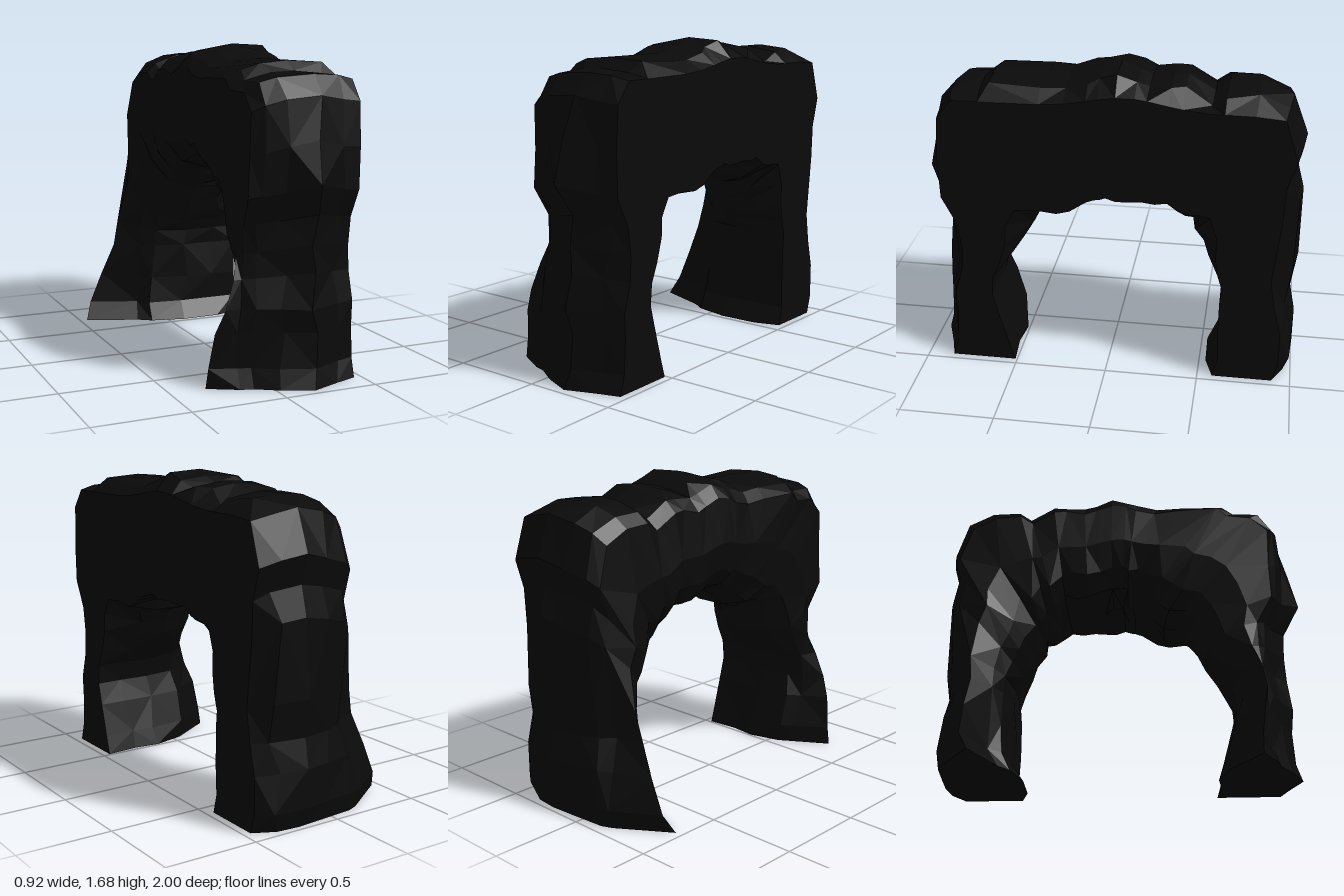
import * as THREE from 'three';

// Arch profile as [z, y] pairs, from the front foot over the top to the back foot
const OUTER = [
  [.96, 0], [.93, .1], [.92, .28], [.93, .4], [.91, .58], [.9, .72], [.91, .87], [1, 1.03], [.95, 1.24],
  [.9, 1.45], [.81, 1.55], [.67, 1.56], [.61, 1.61], [.35, 1.61], [.22, 1.61], [.1, 1.64], [.04, 1.66],
  [-.05, 1.68], [-.15, 1.65], [-.21, 1.62], [-.32, 1.64], [-.39, 1.63], [-.53, 1.56], [-.6, 1.61],
  [-.76, 1.61], [-.92, 1.56], [-1, 1.35], [-.96, 1.2], [-1, 1.05], [-1, .65], [-.97, .45], [-1, .3],
  [-1, .1], [-.97, 0],
];
const INNER = [
  [.51, 0], [.54, .1], [.59, .28], [.62, .4], [.6, .51], [.53, .6], [.45, .7], [.41, .78], [.37, .85],
  [.3, .87], [.23, .89], [.18, .93], [.14, .97], [.1, 1], [.06, 1.015], [.03, 1.02], [0, 1.03],
  [-.05, 1.01], [-.1, 1], [-.18, .99], [-.25, .97], [-.31, .98], [-.36, .93], [-.4, .88],
  [-.43, .84], [-.45, .82], [-.49, .73], [-.52, .66], [-.56, .6], [-.6, .54], [-.6, .45], [-.6, .25],
  [-.6, .1], [-.53, 0],
];

// How far each leg spreads toward -x, as [height, x]
const FRONT_SPREAD = [[0, -.31], [.28, -.27], [.45, -.2], [.65, -.14]];
const BACK_SPREAD = [[0, -.46], [.25, -.36], [.4, -.28], [.78, -.2], [.88, -.16], [.96, -.2], [1.1, -.14]];

// Rough rim: x, then how far it lies below the outer profile on the front leg, top and back leg
const OUTER_RIM = [
  [.36, .06, .01, .02], [.2, 0, 0, 0], [.05, .06, .005, .03], [-.06, .12, .04, .08], [-.12, .15, .1, .15],
];
// Rough inner side: x and the share of the way from the inner to the outer profile
const INNER_RIM = [[-.11, .22], [-.03, .08], [.12, 0], [.3, .02]];

function sample(table, y) {
  for (let i = 1; i < table.length; i++) {
    if (y <= table[i][0]) {
      const [y0, x0] = table[i - 1], [y1, x1] = table[i];
      return x0 + (x1 - x0) * (y - y0) / (y1 - y0);
    }
  }
  return table[table.length - 1][1];
}

function makeRandom(seed) {
  return () => (seed = (seed * 16807) % 2147483647) / 2147483647;
}

const bump = (i, centre, width) => Math.exp(-(((i - centre) / width) ** 2));

function buildRings() {
  const random = makeRandom(77);
  const jitter = (size) => (random() - .5) * size;
  return OUTER.map((o, i) => {
    const n = INNER[i];
    const length = Math.hypot(o[0] - n[0], o[1] - n[1]);
    const at = (x, s) => new THREE.Vector3(x, n[1] + (o[1] - n[1]) * s, n[0] + (o[0] - n[0]) * s);
    const back = sample(o[0] > 0 ? FRONT_SPREAD : BACK_SPREAD, (o[1] + n[1]) / 2);
    const spread = (back + .14) * .2;
    const frontLeg = 1 - THREE.MathUtils.smoothstep(i, 6, 10);
    const backLeg = THREE.MathUtils.smoothstep(i, 23, 26);
    const backFoot = THREE.MathUtils.smoothstep(i, 29, 33);
    const knob = .05 * bump(i, 7, 1);

    // The flat face is set back from the rough rim, most of all at the arch corners
    const innerInset = .14 * bump(i, 7.5, 2.3) + .16 * bump(i, 25, 2.5) + .04 * bump(i, 20, 2) + .05 * bump(i, 33, .7);
    const outerInset = .04 + .06 * frontLeg + .03 * backLeg + knob + .04 * bump(i, 4.5, 1) + .09 * bump(i, 28.5, 1);
    const faceTop = at(.46, 1 - outerInset / length);
    faceTop.y = Math.min(faceTop.y, 1.52 + .06 * bump(faceTop.z, -.1, .25));
    const ring = [at(.46, innerInset / length), faceTop];

    for (const [x, front, top, rear] of OUTER_RIM) {
      const rearDepth = rear * (1 - .75 * backFoot);
      const roughness = front === 0 ? 0 : knob + random() * .02;
      const depth = top + (front - top) * frontLeg + (rearDepth - top) * backLeg + roughness;
      ring.push(at(x + (x < 0 ? spread + jitter(.02) : jitter(.06)), 1 - depth / length));
    }
    ring.push(at(back, .47));
    for (const [x, s] of INNER_RIM) {
      const offset = x < 0 ? spread + jitter(.025) : jitter(.06);
      ring.push(at(x + offset, s && Math.max(0, s + jitter(.06))));
    }
    return ring;
  });
}

function buildArchGeometry() {
  const rings = buildRings();
  const count = rings[0].length;
  const positions = [];
  const triangle = (...points) => points.forEach((p) => positions.push(p.x, p.y, p.z));

  // Skin between neighbouring cross-sections, alternating the diagonal
  for (let i = 0; i < rings.length - 1; i++) {
    for (let j = 0; j < count; j++) {
      const k = (j + 1) % count;
      const a = rings[i][j], b = rings[i + 1][j], c = rings[i + 1][k], d = rings[i][k];
      if ((i + j) % 2) {
        triangle(a, b, d);
        triangle(b, c, d);
      } else {
        triangle(a, b, c);
        triangle(a, c, d);
      }
    }
  }

  // Undersides of the two feet
  [rings[0], rings[rings.length - 1]].forEach((ring, end) => {
    const centre = new THREE.Vector3();
    ring.forEach((p) => centre.addScaledVector(p, 1 / count));
    ring.forEach((p, j) => {
      const q = ring[(j + 1) % count];
      if (end) triangle(centre, q, p);
      else triangle(centre, p, q);
    });
  });

  const geometry = new THREE.BufferGeometry();
  geometry.setAttribute('position', new THREE.Float32BufferAttribute(positions, 3));
  geometry.computeVertexNormals();
  return geometry;
}

export function createModel() {
  const group = new THREE.Group();
  group.name = 'rockArch';
  const material = new THREE.MeshStandardMaterial({ color: 0x0a0a0a, flatShading: true });
  const arch = new THREE.Mesh(buildArchGeometry(), material);
  arch.name = 'archRock';
  group.add(arch);
  return group;
}
